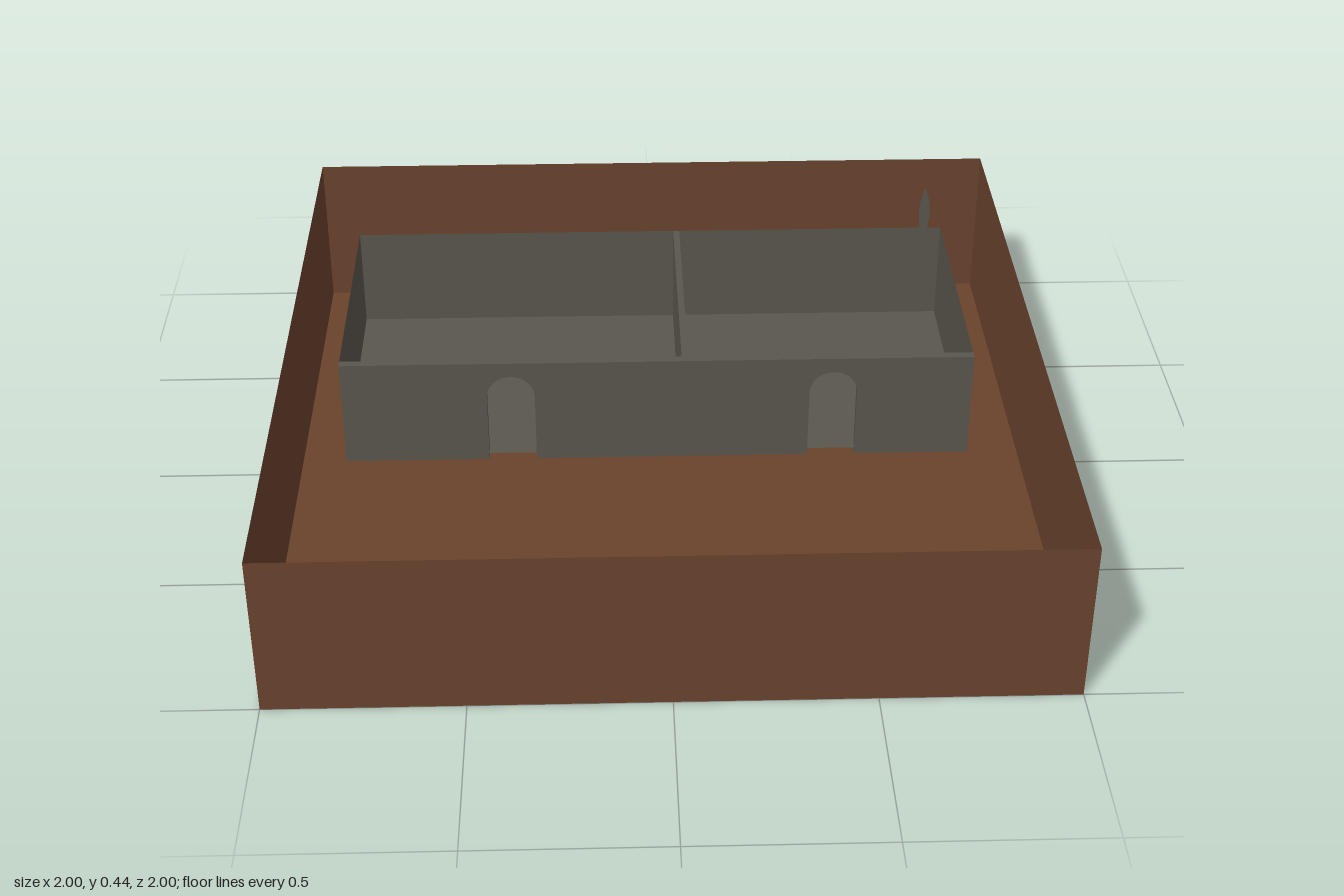
import * as THREE from 'three';

export function createModel() {
  const model = new THREE.Group();
  const brown = new THREE.MeshStandardMaterial({ color: 0x6a432d, side: THREE.DoubleSide });
  brown.name = 'brown earth';
  const stone = new THREE.MeshStandardMaterial({ color: 0x5a564e, side: THREE.DoubleSide });
  stone.name = 'grey stone';

  function add(name, geometry, material, x, y, z, parent = model) {
    const mesh = new THREE.Mesh(geometry, material);
    mesh.name = name;
    mesh.position.set(x, y, z);
    parent.add(mesh);
    return mesh;
  }

  // Thin upright sheet, turned by quarter turns about y
  function sheet(name, width, height, material, x, z, turns) {
    add(name, new THREE.PlaneGeometry(width, height), material, x, height / 2, z).rotation.y = turns * Math.PI / 2;
  }

  // Open-topped outer tray
  const H = 0.44;
  add('ground', new THREE.PlaneGeometry(2, 2), brown, 0, 0, 0).rotation.x = -Math.PI / 2;
  sheet('outerFrontWall', 2, H, brown, 0, 1, 0);
  sheet('outerBackWall', 2, H, brown, 0, -1, 2);
  sheet('outerLeftWall', 2, H, brown, 1, 0, 1);
  sheet('outerRightWall', 2, H, brown, -1, 0, -1);

  // Two-room building
  const x0 = -0.88, x1 = 0.86, z0 = -0.8, z1 = -0.06;
  const wallH = 0.313, thick = 0.024, floorY = 0.02;
  const midX = (x0 + x1) / 2, midZ = (z0 + z1) / 2;
  add('roomFloor', new THREE.PlaneGeometry(x1 - x0, z1 - z0), stone, midX, floorY, midZ).rotation.x = -Math.PI / 2;
  sheet('roomBackWall', x1 - x0, wallH, stone, midX, z0, 0);
  sheet('roomLeftWall', z1 - z0, wallH, stone, x1, midZ, 1);
  sheet('roomRightWall', z1 - z0, wallH, stone, x0, midZ, -1);
  const dividerLength = z1 - thick - z0;
  add('dividingWall', new THREE.BoxGeometry(0.018, wallH, dividerLength), stone, 0.066, wallH / 2, z0 + dividerLength / 2);

  // Front wall with two arched doorways cut up from its foot
  const wall = new THREE.Shape();
  const radius = 0.066, spring = 0.204;
  wall.moveTo(x0, 0);
  for (const doorX of [-0.414, 0.476]) {
    wall.lineTo(doorX - radius, 0);
    wall.lineTo(doorX - radius, spring);
    wall.absarc(doorX, spring, radius, Math.PI, 0, true);
    wall.lineTo(doorX + radius, 0);
  }
  wall.lineTo(x1, 0);
  wall.lineTo(x1, wallH);
  wall.lineTo(x0, wallH);
  const wallGeometry = new THREE.ExtrudeGeometry(wall, { depth: thick, bevelEnabled: false, curveSegments: 10 });
  add('frontWallWithDoorways', wallGeometry, stone, 0, 0, z1 - thick);

  // Low wooden chest with a small latch
  const chest = new THREE.Group();
  chest.name = 'lowChest';
  model.add(chest);
  add('chestBody', new THREE.BoxGeometry(0.065, 0.05, 0.325), brown, -0.742, floorY + 0.025, -0.292, chest);
  add('chestLatch', new THREE.BoxGeometry(0.012, 0.02, 0.035), brown, -0.704, floorY + 0.03, -0.372, chest);

  // Slim pointed stone inlay in the outer back wall
  const inlay = new THREE.Shape();
  inlay.moveTo(0, -0.085);
  inlay.quadraticCurveTo(0.034, 0, 0, 0.085);
  inlay.quadraticCurveTo(-0.034, 0, 0, -0.085);
  const inlayGeometry = new THREE.ExtrudeGeometry(inlay, { depth: 0.006, bevelEnabled: false, curveSegments: 8 });
  add('wallInlay', inlayGeometry, stone, 0.84, 0.255, -1.003);

  return model;
}
